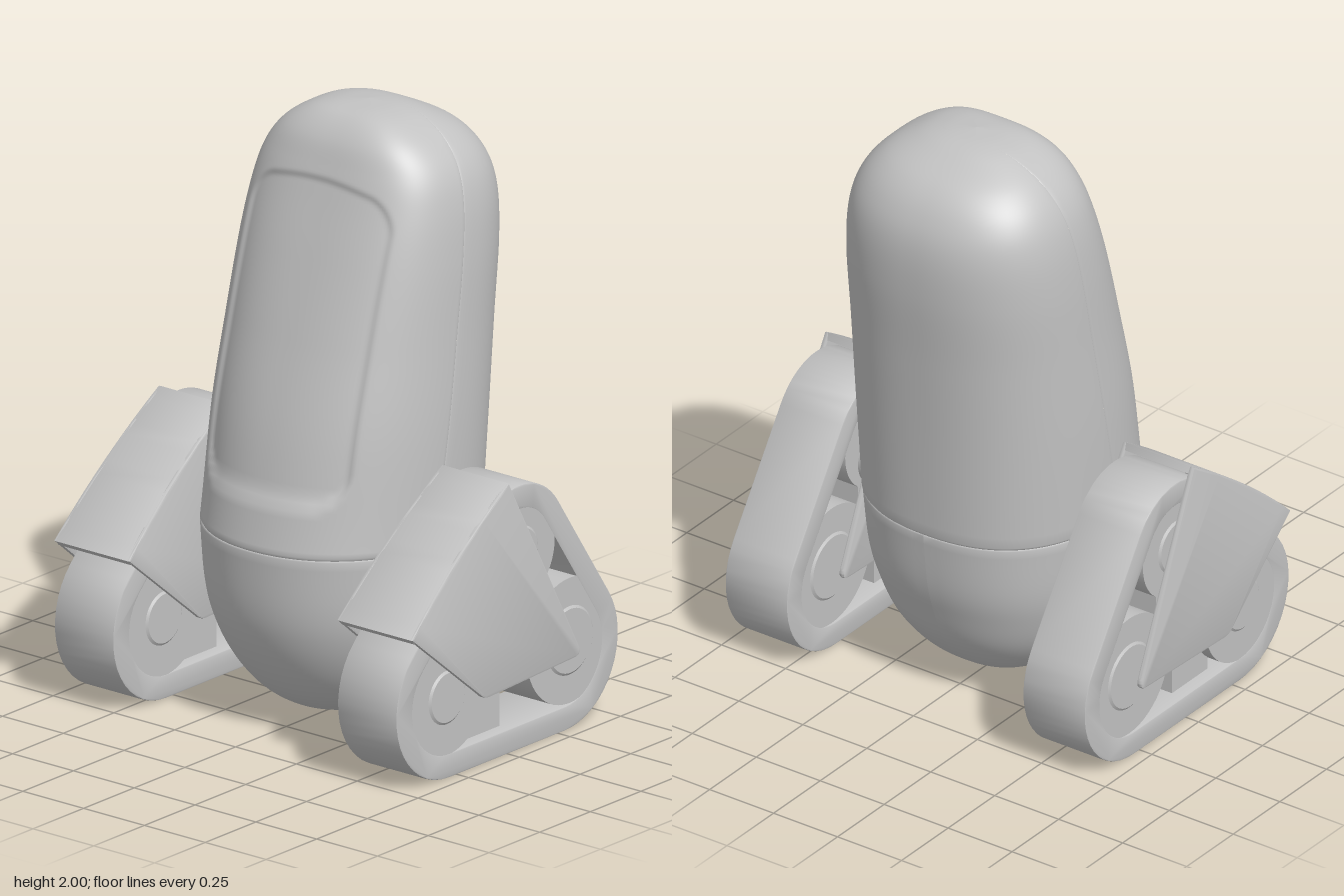
import * as THREE from 'three';
import { toCreasedNormals } from 'three/addons/utils/BufferGeometryUtils.js';

const shellGrey = new THREE.MeshStandardMaterial({ color: 0xc2c2c2 });
shellGrey.name = 'shellGrey';

function add(parent, name, geometry) {
  const mesh = new THREE.Mesh(geometry, shellGrey);
  mesh.name = name;
  parent.add(mesh);
  return mesh;
}

// Profiles: [y, half width, front z, back z]
const UPPER = [
  [0.64, 0.425, 0.433, -0.45], [1.0, 0.425, 0.36, -0.475], [1.3, 0.415, 0.267, -0.5],
  [1.55, 0.405, 0.18, -0.523], [1.72, 0.385, 0.115, -0.52], [1.83, 0.348, 0.072, -0.485],
  [1.91, 0.283, 0.035, -0.42], [1.965, 0.195, -0.015, -0.32], [1.99, 0.11, -0.07, -0.25],
  [2.0, 0.001, -0.16, -0.162],
];
const LOWER = [
  [0.02, 0.001, 0.001, -0.001], [0.035, 0.12, 0.12, -0.13], [0.07, 0.2, 0.2, -0.21],
  [0.13, 0.275, 0.27, -0.28], [0.22, 0.34, 0.335, -0.345], [0.33, 0.385, 0.387, -0.39],
  [0.45, 0.41, 0.417, -0.425], [0.64, 0.424, 0.433, -0.448],
];

// Evenly spaced parameters with a narrow strip at chosen ends for the seam grooves
function steps(n, grooveStart, grooveEnd) {
  const out = Array.from({ length: n + 1 }, (_, i) => i / n);
  if (grooveStart) out.splice(1, 0, 0.003);
  if (grooveEnd) out.splice(out.length - 1, 0, 0.997);
  return out;
}

// How far a point lies inside the rounded, arched front panel, 0 to 1
function panelMask(x, y) {
  const r = 0.09, arch = y > 1.3 ? 0.6 * x * x : 0;
  const dx = Math.abs(x) - 0.285 + r, dy = Math.abs(y + arch - 1.305) - 0.49 + r;
  const d = Math.hypot(Math.max(dx, 0), Math.max(dy, 0)) + Math.min(Math.max(dx, dy), 0) - r;
  return 1 - THREE.MathUtils.smoothstep(d, -0.015, 0.015);
}

// Skin over superelliptic sections; part is 'front', 'back' or 'full'
function skin(profile, part, nRows, nCols) {
  const curveOf = (k) => new THREE.CatmullRomCurve3(
    profile.map((p) => new THREE.Vector3(p[1], p[0], p[k])), false, 'catmullrom');
  const frontCurve = curveOf(2), backCurve = curveOf(3);
  const upper = part !== 'full';
  const rows = steps(nRows, upper, !upper), cols = steps(nCols, upper, upper);
  const bend = (v, e) => Math.sign(v) * Math.abs(v) ** e;
  const pos = [], index = [];
  rows.forEach((t, j) => {
    const f = frontCurve.getPoint(t), b = backCurve.getPoint(t);
    const y = f.y, c = (f.z + b.z) / 2, h = Math.max((f.z - b.z) / 2, 0.0005);
    const rise = Math.max((y - 0.64) / 1.36, 0);
    // Rounder in front than behind, squarer towards the top
    const power = (sign) => (sign > 0 ? 2.1 + 1.2 * rise * rise : 2.35);
    // The side seam leans back as it rises
    const s = THREE.MathUtils.clamp((0.03 - 0.245 * rise ** 0.9 - c) / h, -0.8, 0.8);
    const a0 = Math.asin(bend(s, power(s) / 2));
    let start = -Math.PI / 2, end = start + Math.PI * 2;
    if (part === 'front') [start, end] = [a0, Math.PI - a0];
    if (part === 'back') [start, end] = [Math.PI - a0, Math.PI * 2 + a0];
    cols.forEach((u, i) => {
      const a = start + (end - start) * u, e = 2 / power(Math.sin(a));
      const grooveCol = upper && (i === 0 || i === cols.length - 1);
      const grooveRow = upper ? j === 0 : j === rows.length - 1;
      const k = grooveRow ? 0.985 : grooveCol ? 0.992 : 1;
      const x = f.x * bend(Math.cos(a), e) * k;
      let z = c + h * bend(Math.sin(a), e) * k;
      // The recess grows shallower towards its top
      if (part === 'front') z -= (0.02 - 0.012 * rise) * panelMask(x, y);
      pos.push(x, y, z);
      if (i && j) {
        const q = j * cols.length + i, p = q - cols.length;
        index.push(p - 1, q - 1, p, p, q - 1, q);
      }
    });
  });
  const g = new THREE.BufferGeometry();
  g.setAttribute('position', new THREE.Float32BufferAttribute(pos, 3));
  g.setIndex(index);
  g.computeVertexNormals();
  return g;
}

// Outline around three circles [z, y, r], listed counter-clockwise
function beltOutline(circles, inset) {
  const n = circles.length, pts = [];
  const normals = circles.map(([z, y, r], i) => {
    const [z2, y2, r2] = circles[(i + 1) % n];
    return Math.atan2(y2 - y, z2 - z) - Math.acos((r - r2) / Math.hypot(z2 - z, y2 - y));
  });
  circles.forEach(([z, y, r], i) => {
    const from = normals[(i + n - 1) % n];
    let to = normals[i];
    while (to < from) to += Math.PI * 2;
    for (let k = 0; k <= 16; k++) {
      const a = from + ((to - from) * k) / 16;
      pts.push(new THREE.Vector2(z + (r - inset) * Math.cos(a), y + (r - inset) * Math.sin(a)));
    }
  });
  return pts;
}

// Extrude a side profile (z, y) to a width centred on x = 0
function sideExtrude(shape, width, bevel) {
  const g = new THREE.ExtrudeGeometry(shape, {
    depth: width - 2 * bevel, bevelEnabled: true, bevelThickness: bevel,
    bevelSize: bevel, bevelOffset: -bevel, bevelSegments: 2, curveSegments: 12,
  });
  g.translate(0, 0, -(width - 2 * bevel) / 2).rotateY(-Math.PI / 2);
  return toCreasedNormals(g, 0.6);
}

function moveVertices(g, rule) {
  const p = g.attributes.position, v = new THREE.Vector3();
  for (let i = 0; i < p.count; i++) {
    rule(v.fromBufferAttribute(p, i));
    p.setXYZ(i, v.x, v.y, v.z);
  }
  return toCreasedNormals(g, 0.6);
}

// Wheel disc with a low raised hub on both faces
function wheelGeometry(r, hub, width) {
  const w = width / 2;
  const half = [[0, w + 0.006], [hub - 0.008, w + 0.006], [hub, w], [r, w]];
  const profile = [...half.map(([a, b]) => [a, -b]), ...half.reverse()];
  const g = new THREE.LatheGeometry(profile.map(([a, b]) => new THREE.Vector2(a, b)), 48);
  return toCreasedNormals(g.rotateZ(-Math.PI / 2), 0.4);
}

function createTrack(name) {
  const track = new THREE.Group();
  track.name = name;

  // Belt around two ground wheels and a top roller
  const circles = [[-0.283, 0.265, 0.262], [0.288, 0.265, 0.262], [-0.06, 0.66, 0.227]];
  const belt = new THREE.Shape(beltOutline(circles, 0));
  belt.holes.push(new THREE.Path(beltOutline(circles, 0.08)));
  add(track, 'belt', sideExtrude(belt, 0.242, 0.004));

  // Wheels sit flush with the sides of the belt
  [['frontWheel', 0.3, 0.275, 0.195, 0.09], ['backWheel', -0.305, 0.3, 0.21, 0.115],
    ['topRoller', -0.06, 0.66, 0.172, 0.09]]
    .forEach(([part, z, y, r, hub]) => add(track, part, wheelGeometry(r, hub, 0.24)).position.set(0, y, z));

  // Inner frame between the wheels
  add(track, 'frameBlock', new THREE.BoxGeometry(0.15, 0.18, 0.19)).position.set(0, 0.16, 0.08);
  add(track, 'frameBeam', new THREE.BoxGeometry(0.12, 0.4, 0.2)).position.set(0, 0.44, 0.02);

  // Fender: bowed top plate flush with two flaring cheeks
  const flare = (y) => 0.139 + (0.915 - y) * 0.042;
  const top = new THREE.Shape();
  top.moveTo(0.005, 0.895);
  top.lineTo(0.015, 0.918);
  top.quadraticCurveTo(0.285, 0.752, 0.513, 0.53);
  top.lineTo(0.495, 0.512);
  top.quadraticCurveTo(0.27, 0.725, 0.005, 0.895);
  add(track, 'fenderTop', moveVertices(sideExtrude(top, 0.27, 0.003), (v) => { v.x *= flare(v.y) / 0.139; }));

  const cheek = new THREE.Shape();
  cheek.moveTo(0.015, 0.918);
  cheek.quadraticCurveTo(0.285, 0.752, 0.513, 0.53);
  cheek.lineTo(0.19, 0.262);
  cheek.quadraticCurveTo(0.17, 0.242, 0.14, 0.243);
  cheek.lineTo(-0.28, 0.26);
  cheek.quadraticCurveTo(-0.315, 0.263, -0.297, 0.3);
  cheek.lineTo(0.015, 0.918);
  for (const side of [-1, 1]) {
    add(track, side > 0 ? 'fenderCheekA' : 'fenderCheekB',
      moveVertices(sideExtrude(cheek, 0.02, 0.006), (v) => { v.x += side * (flare(v.y) - 0.009); }));
  }
  return track;
}

export function createModel() {
  const model = new THREE.Group();
  model.name = 'trackedRobot';

  // Body in three shells
  add(model, 'frontShell', skin(UPPER, 'front', 130, 110));
  add(model, 'backShell', skin(UPPER, 'back', 70, 60));
  add(model, 'lowerBowl', skin(LOWER, 'full', 40, 90));

  for (const side of [1, -1]) {
    const track = createTrack(side > 0 ? 'leftTrack' : 'rightTrack');
    track.position.x = side * 0.582;
    model.add(track);
    // Axle joining the track to the body
    const axle = new THREE.CylinderGeometry(0.09, 0.11, 0.16, 32).rotateZ(-Math.PI / 2 * side);
    add(model, side > 0 ? 'leftAxle' : 'rightAxle', axle).position.set(side * 0.41, 0.6, -0.07);
  }
  return model;
}
